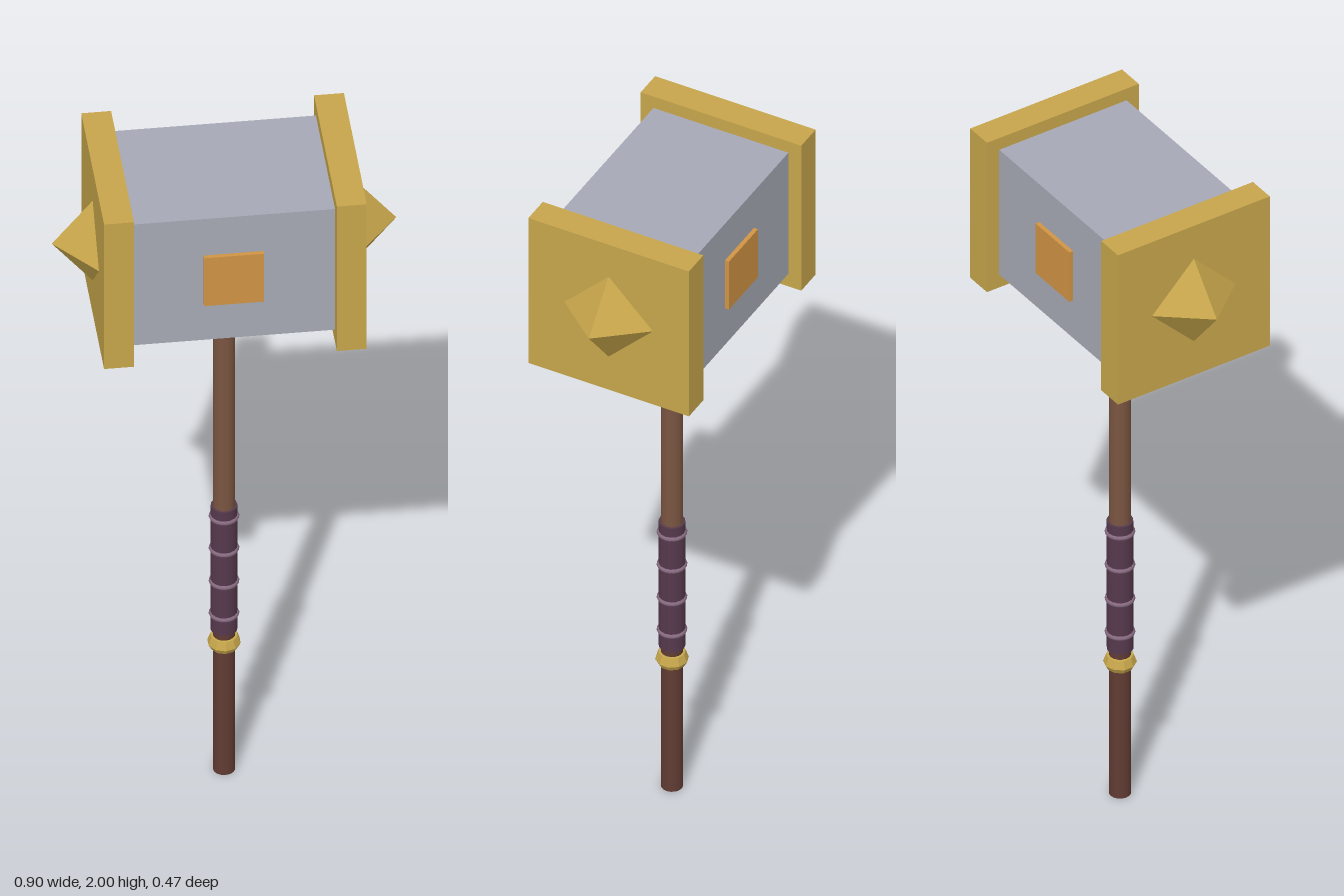
import * as THREE from 'three';

const material = (name, color, flatShading = false) => {
  const m = new THREE.MeshStandardMaterial({ color, flatShading });
  m.name = name;
  return m;
};

export function createModel() {
  const model = new THREE.Group();
  model.name = 'warHammer';
  const steel = material('steel', 0xa6a9b5);
  const gold = material('gold', 0xc6a54b, true);
  const amber = material('amber', 0xd09444);
  const wood = material('wood', 0x7a5542);
  const darkWood = material('dark wood', 0x613c33);
  const leather = material('leather', 0x56394c);
  const binding = material('binding', 0x86697f);

  const add = (name, geometry, mat, x = 0, y = 0, z = 0) => {
    const mesh = new THREE.Mesh(geometry, mat);
    mesh.name = name;
    mesh.position.set(x, y, z);
    model.add(mesh);
    return mesh;
  };
  // Upright shaft section between two heights
  const rod = (name, r, y0, y1, mat) =>
    add(name, new THREE.CylinderGeometry(r, r, y1 - y0, 16), mat, 0, (y0 + y1) / 2);

  const headY = 1.765;

  // Head block, end plates and four-sided spikes
  add('headBlock', new THREE.BoxGeometry(0.54, 0.396, 0.398), steel, 0, headY);
  for (const s of [1, -1]) {
    const side = s > 0 ? 'left' : 'right';
    add(side + 'EndPlate', new THREE.BoxGeometry(0.078, 0.474, 0.474), gold, s * 0.304, headY - 0.002);
    const spike = add(side + 'Spike', new THREE.ConeGeometry(0.132, 0.108, 4), gold, s * 0.396, headY);
    spike.rotation.z = -s * Math.PI / 2;
  }

  // Square inlays on the front and back of the head
  for (const s of [1, -1]) {
    add(s > 0 ? 'frontInlay' : 'backInlay', new THREE.BoxGeometry(0.157, 0.157, 0.03), amber, 0, headY, s * 0.196);
  }

  // Shaft
  rod('upperShaft', 0.029, 0.84, 1.6, wood);
  rod('lowerShaft', 0.029, 0, 0.84, darkWood);

  // Wrapped grip with raised bindings
  rod('grip', 0.035, 0.46, 0.865, leather);
  for (const y of [0.512, 0.618, 0.725, 0.83]) {
    const ring = add('gripBinding', new THREE.TorusGeometry(0.033, 0.007, 8, 20), binding, 0, y);
    ring.rotation.x = Math.PI / 2;
  }

  // Faceted collar below the grip
  const collar = [[0.028, 0.4], [0.036, 0.402], [0.044, 0.417], [0.036, 0.44], [0.028, 0.441]];
  add('collar', new THREE.LatheGeometry(collar.map(([x, y]) => new THREE.Vector2(x, y)), 10), gold);
  return model;
}
